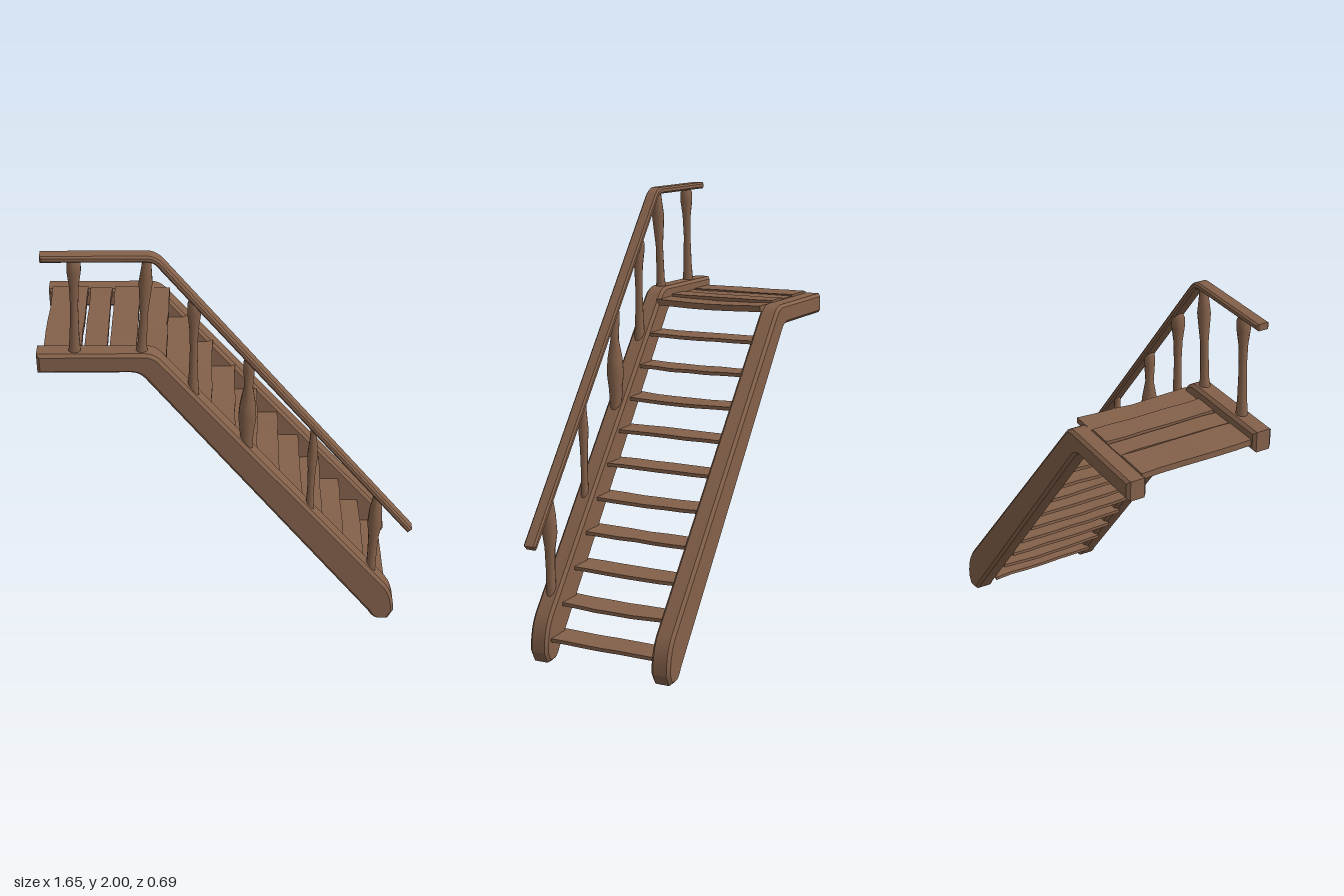
import * as THREE from 'three';
import { toCreasedNormals } from 'three/addons/utils/BufferGeometryUtils.js';

export function createModel() {
  const model = new THREE.Group();
  model.name = 'staircase';
  const wood = new THREE.MeshStandardMaterial({ color: 0x84614a });

  let seed = 7;
  const rand = () => (seed = (seed * 16807) % 2147483647) / 2147483647;

  const add = (geometry, name, parent = model) => {
    const mesh = new THREE.Mesh(geometry, wood);
    mesh.name = name;
    parent.add(mesh);
    return mesh;
  };

  // Side profile in x/y, extruded to a bevelled beam centred on z
  const beam = (shape, z, width, bevel, name) => {
    const g = new THREE.ExtrudeGeometry(shape, {
      depth: width - 2 * bevel, curveSegments: 5,
      bevelEnabled: true, bevelSegments: 1,
      bevelThickness: bevel, bevelSize: bevel, bevelOffset: -bevel,
    });
    g.translate(0, 0, z - width / 2 + bevel);
    return add(toCreasedNormals(g, 0.5), name);
  };

  // Stringers: level at the landing, sloping to a rounded foot.
  // drop lowers the upper end while the foot stays on the ground.
  const stringerShape = (drop) => {
    const y = (v) => v - drop * v / 1.5;
    const s = new THREE.Shape();
    s.moveTo(-0.825, y(1.435));
    s.lineTo(-0.43, y(1.435));
    s.quadraticCurveTo(-0.395, y(1.435), -0.37, y(1.405));
    s.lineTo(0.645, y(0.05));
    s.quadraticCurveTo(0.67, 0, 0.7, 0);
    s.lineTo(0.74, 0);
    s.lineTo(0.765, y(0.05));
    s.quadraticCurveTo(0.765, y(0.15), 0.72, y(0.215));
    s.lineTo(-0.295, y(1.49));
    s.quadraticCurveTo(-0.325, y(1.53), -0.37, y(1.53));
    s.lineTo(-0.825, y(1.53));
    s.closePath();
    return s;
  };
  beam(stringerShape(0), 0.3, 0.09, 0.013, 'frontStringer');
  beam(stringerShape(0.05), -0.3, 0.09, 0.013, 'backStringer');

  // Handrail
  const rail = new THREE.Shape();
  rail.moveTo(-0.78, 1.97);
  rail.lineTo(-0.345, 1.97);
  rail.quadraticCurveTo(-0.32, 1.97, -0.305, 1.95);
  rail.lineTo(0.805, 0.525);
  rail.lineTo(0.825, 0.545);
  rail.lineTo(-0.28, 1.965);
  rail.quadraticCurveTo(-0.31, 2, -0.345, 2);
  rail.lineTo(-0.78, 2);
  rail.closePath();
  beam(rail, 0.3, 0.06, 0.008, 'handrail');

  // Uneven turned balusters: foot, head and [height fraction, radius] profile
  const flared = [[0, 0.028], [0.2, 0.021], [0.5, 0.017], [0.72, 0.021], [0.86, 0.03], [0.95, 0.03], [1, 0.02]];
  const swollen = [[0, 0.028], [0.12, 0.02], [0.45, 0.018], [0.75, 0.03], [0.9, 0.022], [1, 0.018]];
  const lowBulge = [[0, 0.028], [0.2, 0.032], [0.36, 0.041], [0.5, 0.036], [0.68, 0.02], [0.86, 0.025], [0.94, 0.026], [1, 0.016]];
  const highBulge = [[0, 0.022], [0.3, 0.022], [0.5, 0.025], [0.64, 0.035], [0.8, 0.03], [0.94, 0.02], [1, 0.016]];
  const slim = [[0, 0.019], [0.3, 0.016], [0.5, 0.018], [0.68, 0.024], [0.85, 0.017], [1, 0.014]];
  const balusters = [
    [[-0.665, 1.51], [-0.643, 1.98], flared],
    [[-0.382, 1.51], [-0.345, 1.98], swollen],
    [[-0.168, 1.29], [-0.155, 1.78], flared],
    [[0.062, 1.0], [0.075, 1.49], lowBulge],
    [[0.352, 0.63], [0.36, 1.12], slim],
    [[0.648, 0.25], [0.657, 0.74], highBulge],
  ];
  const balustrade = new THREE.Group();
  balustrade.name = 'balusters';
  model.add(balustrade);
  for (const [foot, head, profile] of balusters) {
    const a = new THREE.Vector3(...foot, 0.3);
    const dir = new THREE.Vector3(...head, 0.3).sub(a);
    const points = profile.map(([t, r]) => new THREE.Vector2(r, t * dir.length()));
    const mesh = add(new THREE.LatheGeometry(points, 10), 'baluster', balustrade);
    mesh.position.copy(a);
    mesh.quaternion.setFromUnitVectors(new THREE.Vector3(0, 1, 0), dir.normalize());
    mesh.scale.z = 0.95;
  }

  // Worn board: a box with slightly bowed faces and uneven long edges
  const board = (x0, x1, y, thick, name, parent) => {
    const g = new THREE.BoxGeometry(x1 - x0, thick, 0.54, 1, 1, 6);
    const p = g.attributes.position;
    const edge = Array.from({ length: 14 }, () => (rand() - 0.5) * 0.007);
    const sag = (rand() - 0.2) * 0.01;
    for (let i = 0; i < p.count; i++) {
      const k = Math.round((p.getZ(i) / 0.54 + 0.5) * 6);
      const bow = 1 - (2 * p.getZ(i) / 0.54) ** 2;
      const j = k + (p.getX(i) > 0 ? 7 : 0);
      p.setX(i, p.getX(i) + edge[j]);
      p.setY(i, p.getY(i) - sag * bow + edge[13 - j] * 0.4);
    }
    g.computeVertexNormals();
    const mesh = add(g, name, parent);
    mesh.position.set((x0 + x1) / 2, y, 0);
  };

  // Treads
  const treads = new THREE.Group();
  treads.name = 'treads';
  model.add(treads);
  for (let i = 0; i < 10; i++) {
    const right = 0.73 - 0.102 * i;
    board(right - 0.142, right, 0.103 + 0.1355 * i, 0.016, 'tread', treads);
  }

  // Landing planks with narrow gaps
  const landing = new THREE.Group();
  landing.name = 'landing';
  model.add(landing);
  for (const [x0, x1, y] of [[-0.805, -0.645, 1.475], [-0.635, -0.537, 1.47], [-0.523, -0.407, 1.475], [-0.402, -0.28, 1.465]]) {
    board(x0, x1, y, 0.028, 'landingPlank', landing);
  }

  return model;
}
